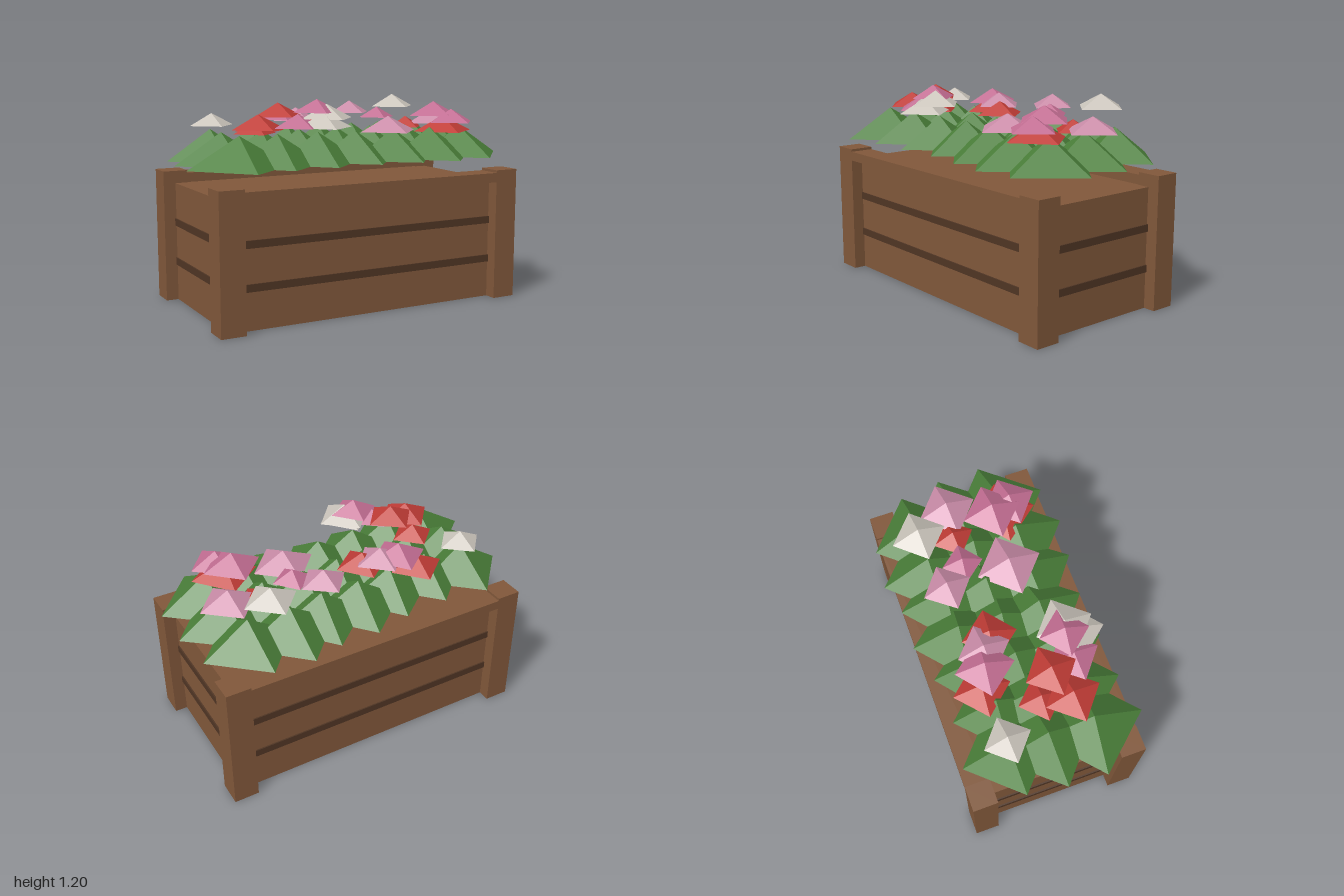
import * as THREE from 'three';

const mat = (name, color, extra = {}) =>
  new THREE.MeshStandardMaterial({ name, color, flatShading: true, ...extra });

export function createModel() {
  const model = new THREE.Group();
  model.name = 'flowerPlanter';
  const wood = mat('wood', 0x80573a);
  wood.side = THREE.DoubleSide;
  const gap = mat('darkGap', 0x4f3524);
  const leaf = mat('leafGreen', 0x4a7f39);
  const red = mat('petalRed', 0xc03c36);
  const pink = mat('petalPink', 0xc26d92);
  const light = mat('petalLightPink', 0xca8ca8);
  const white = mat('petalWhite', 0xcbc5bc);

  const add = (name, geo, material, x, y, z, parent = model) => {
    const m = new THREE.Mesh(geo, material);
    m.name = name;
    m.position.set(x, y, z);
    parent.add(m);
    return m;
  };
  const box = (name, material, w, h, d, x, y, z) =>
    add(name, new THREE.BoxGeometry(w, h, d), material, x, y, z);

  const postX = 0.865, postZ = 0.433, post = 0.143, postH = 0.766, wallH = 0.694;

  // Thin walls, open underneath, closed by the soil board on top
  for (const s of [1, -1]) {
    const long = add('longWall', new THREE.PlaneGeometry(postX * 2, wallH), wood, 0, wallH / 2, s * postZ);
    if (s < 0) long.rotation.y = Math.PI;
    const end = add('endWall', new THREE.PlaneGeometry(postZ * 2, wallH), wood, s * postX, wallH / 2, 0);
    end.rotation.y = s * Math.PI / 2;

    // Rim along the top of each long wall
    box('rim', wood, postX * 2 - post, 0.055, post, 0, 0.7235, s * postZ);

    // Dark gaps between the planks
    for (const y of [0.232, 0.465]) {
      box('longGap', gap, postX * 2 - post, 0.042, 0.008, 0, y, s * (postZ + 0.004));
      box('endGap', gap, 0.008, 0.042, postZ * 2 - post, s * (postX + 0.004), y, 0);
    }
    // Corner posts
    for (const t of [1, -1])
      box('cornerPost', wood, post, postH, post, s * postX, postH / 2, t * postZ);
  }
  const soil = add('soilBoard', new THREE.PlaneGeometry(postX * 2, postZ * 2), wood, 0, wallH, 0);
  soil.rotation.x = -Math.PI / 2;

  // Four-sided pyramid standing on baseY
  const pyramid = (name, material, parent, x, z, r, baseY, h, turn) => {
    const m = add(name, new THREE.ConeGeometry(r, h, 4), material, x, baseY + h / 2, z, parent);
    m.rotation.y = turn;
  };

  // Foliage: three rows of seven bushes [x, z, radius, turn]
  const foliage = new THREE.Group();
  foliage.name = 'foliage';
  model.add(foliage);
  const bushes = [
    [-0.70, -0.22, 0.265, 0.05], [-0.46, -0.20, 0.25, -0.03], [-0.21, -0.22, 0.25, -0.1],
    [0.01, -0.25, 0.27, -0.08], [0.24, -0.25, 0.265, -0.08], [0.45, -0.28, 0.28, 0.03], [0.69, -0.27, 0.27, 0.07],
    [-0.72, 0.00, 0.28, 0.07], [-0.48, 0.01, 0.27, -0.06], [-0.24, -0.01, 0.27, 0.08],
    [0.00, 0.00, 0.27, -0.08], [0.23, -0.01, 0.27, 0.05], [0.47, 0.00, 0.27, -0.05], [0.71, -0.02, 0.285, 0.1],
    [-0.72, 0.26, 0.29, -0.06], [-0.49, 0.24, 0.27, -0.06], [-0.24, 0.23, 0.27, -0.03],
    [0.00, 0.22, 0.27, 0.1], [0.24, 0.24, 0.28, 0.12], [0.48, 0.26, 0.29, 0.07], [0.71, 0.23, 0.285, 0.08],
  ];
  for (const [x, z, r, turn] of bushes) pyramid('bush', leaf, foliage, x, z, r, 0.842, 0.172, turn);

  // Blossoms [colour, x, z, radius, base height, turn]
  const flowers = new THREE.Group();
  flowers.name = 'flowers';
  model.add(flowers);
  const blossoms = [
    [white, 0.56, -0.29, 0.155, 1.105, 0.06], [white, -0.69, -0.22, 0.135, 1.035, 0.08],
    [red, -0.37, -0.25, 0.16, 0.99, -0.06], [pink, -0.28, -0.2, 0.165, 1.06, -0.1],
    [light, -0.18, -0.17, 0.15, 1.05, 0.05], [red, -0.1, -0.11, 0.155, 1.01, -0.1],
    [red, -0.53, 0.03, 0.13, 1.0, 0], [red, -0.58, 0.19, 0.16, 1.04, 0.1],
    [red, -0.43, 0.12, 0.15, 1.1, 0.12], [pink, -0.38, 0.27, 0.15, 1.045, 0.1],
    [white, -0.25, 0.33, 0.165, 1.045, -0.08], [white, -0.21, 0.28, 0.165, 1.09, 0.08],
    [pink, -0.26, 0.26, 0.14, 1.125, -0.08], [light, 0.22, -0.24, 0.14, 1.08, 0.12],
    [pink, 0.34, -0.11, 0.115, 1.055, -0.1], [red, 0.54, -0.1, 0.12, 0.99, 0.1],
    [light, 0.71, -0.08, 0.17, 1.01, 0.08], [light, 0.27, 0.14, 0.19, 0.99, 0.06],
    [pink, 0.58, 0.15, 0.17, 1.075, 0.03], [pink, 0.625, 0.27, 0.155, 1.04, 0.1],
    [red, 0.6, 0.22, 0.19, 0.985, -0.1],
  ];
  for (const [c, x, z, r, y, turn] of blossoms)
    pyramid('blossom', c, flowers, x, z, r, y, 0.022 + r * 0.35, turn);

  return model;
}
